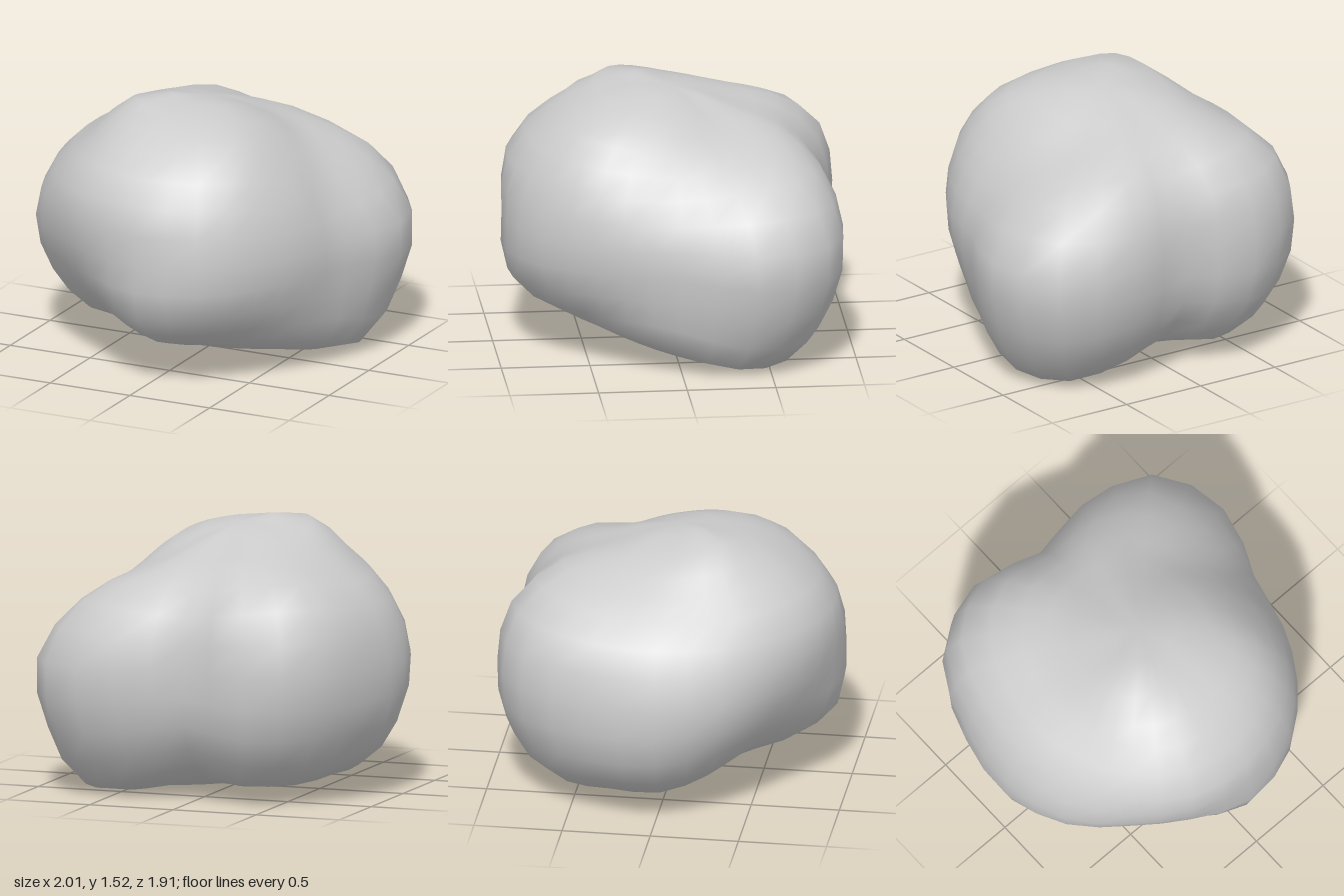
import * as THREE from 'three';

// Radii of the boulder around its core, one ring per elevation,
// 16 steps of 22.5 degrees from +x through the front (+z)
const CORE_Y = 0.75;
const RINGS = [
  [-90, [0.69]],
  [-60, [0.82, 0.78, 0.75, 0.73, 0.725, 0.70, 0.68, 0.71, 0.74, 0.75, 0.77, 0.79, 0.81, 0.83, 0.84, 0.84]],
  [-40, [0.97, 0.88, 0.83, 0.82, 0.84, 0.78, 0.76, 0.85, 0.95, 0.97, 1.02, 1.00, 0.88, 1.00, 1.13, 1.11]],
  [-20, [0.90, 0.86, 0.88, 0.94, 0.96, 0.86, 0.84, 0.93, 1.02, 1.05, 1.09, 1.06, 0.90, 1.04, 1.18, 1.10]],
  [0, [0.86, 0.85, 0.885, 0.94, 0.935, 0.91, 0.91, 0.97, 1.00, 1.03, 1.11, 1.05, 0.87, 1.03, 1.18, 1.08]],
  [20, [0.78, 0.82, 0.88, 0.93, 0.96, 0.97, 0.94, 0.92, 0.94, 0.98, 1.07, 1.03, 0.87, 0.96, 1.01, 0.88]],
  [40, [0.74, 0.78, 0.86, 0.88, 0.88, 0.90, 0.87, 0.83, 0.82, 0.83, 0.87, 0.88, 0.81, 0.82, 0.78, 0.74]],
  [60, [0.73, 0.76, 0.79, 0.81, 0.82, 0.84, 0.86, 0.83, 0.79, 0.77, 0.76, 0.74, 0.72, 0.72, 0.70, 0.71]],
  [90, [0.73]],
];
const last = RINGS.length - 1;

// Catmull-Rom through evenly spaced samples given by get(index)
function spline(get, t) {
  const i = Math.floor(t), f = t - i;
  const [a, b, c, d] = [get(i - 1), get(i), get(i + 1), get(i + 2)];
  return b + 0.5 * f * (c - a + f * (2 * a - 5 * b + 4 * c - d + f * (3 * (b - c) + d - a)));
}

// u runs from pole to pole, v around; past a pole the opposite side carries on
function surfacePoint(u, v) {
  const elevation = THREE.MathUtils.degToRad(spline((i) => {
    if (i < 0) return -120;
    return i > last ? 120 : RINGS[i][0];
  }, u));
  const radius = spline((i) => {
    const over = i < 0 || i > last;
    const row = RINGS[last - Math.abs(last - Math.abs(i))][1];
    return spline((j) => row[(j + 16) % row.length], v + (over ? 8 : 0));
  }, u);
  const azimuth = (v / 16) * Math.PI * 2;
  return [
    radius * Math.cos(elevation) * Math.cos(azimuth),
    CORE_Y + radius * Math.sin(elevation),
    radius * Math.cos(elevation) * Math.sin(azimuth),
  ];
}

// Closed skin: loops of shared vertices, capped by a single point at each pole
function boulderGeometry(rows = 16, columns = 32) {
  const positions = [0, CORE_Y - RINGS[0][1][0], 0];
  for (let i = 1; i < rows; i++) {
    for (let j = 0; j < columns; j++) {
      positions.push(...surfacePoint((i / rows) * last, (j / columns) * 16));
    }
  }
  positions.push(0, CORE_Y + RINGS[last][1][0], 0);

  const top = positions.length / 3 - 1;
  const id = (i, j) => (i === 0 ? 0 : i === rows ? top : 1 + (i - 1) * columns + (j % columns));
  const index = [];
  for (let i = 0; i < rows; i++) {
    for (let j = 0; j < columns; j++) {
      const a = id(i, j), b = id(i, j + 1), c = id(i + 1, j), d = id(i + 1, j + 1);
      if (i > 0) index.push(a, c, b);
      if (i < rows - 1) index.push(b, c, d);
    }
  }
  const geometry = new THREE.BufferGeometry();
  geometry.setAttribute('position', new THREE.Float32BufferAttribute(positions, 3));
  geometry.setIndex(index);

  // Centre it and settle it on the ground
  geometry.computeBoundingBox();
  const { min, max } = geometry.boundingBox;
  geometry.translate(-(min.x + max.x) / 2, -min.y, -(min.z + max.z) / 2);
  geometry.computeVertexNormals();
  return geometry;
}

export function createModel() {
  const group = new THREE.Group();
  group.name = 'rock';
  const boulder = new THREE.Mesh(
    boulderGeometry(),
    new THREE.MeshStandardMaterial({ color: 0xcccccc }),
  );
  boulder.name = 'boulder';
  group.add(boulder);
  return group;
}
